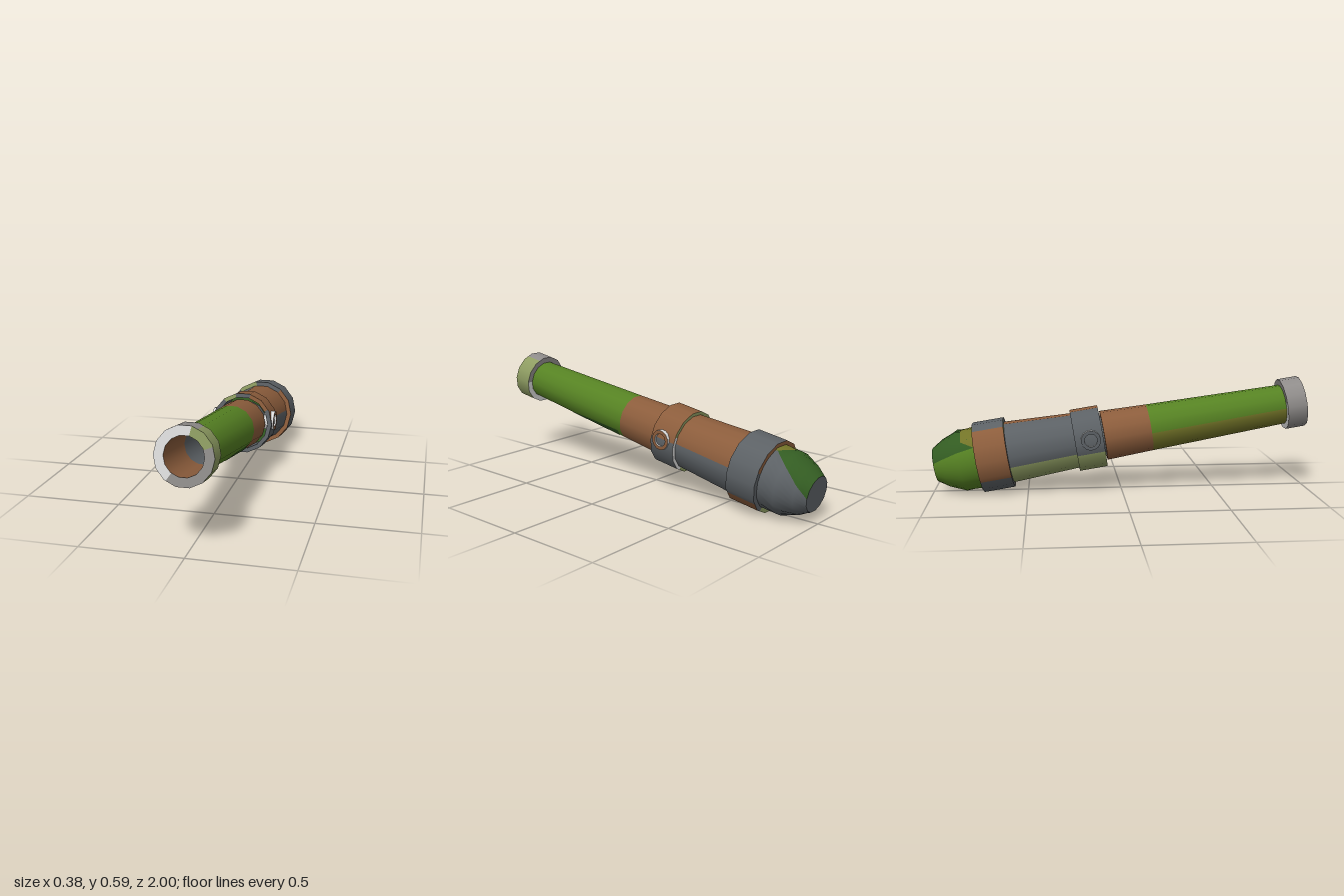
import * as THREE from 'three';

const SIDES = 14;
const STEP = 360 / SIDES;

const paint = (name, color) => {
  const m = new THREE.MeshStandardMaterial({ color });
  m.name = name;
  return m;
};

// Radius of the 14-sided section at an angle in degrees
function polyRadius(r, deg) {
  const off = (((deg % STEP) + STEP) % STEP) - STEP / 2;
  return r * Math.cos(Math.PI / SIDES) / Math.cos(THREE.MathUtils.degToRad(off));
}

// Sector of a turned surface. profile = [z, radius] points, listed so that the
// outside runs front to back; the sector may drift from a0..a1 to b0..b1.
function sectorGeometry(profile, a0, a1, b0 = a0, b1 = a1) {
  let cols = [0];
  if (a0 === b0 && a1 === b1) {
    for (let k = Math.ceil(a0 / STEP + 1e-6); k * STEP < a1 - 1e-4; k++) cols.push((k * STEP - a0) / (a1 - a0));
    cols.push(1);
  } else {
    cols = Array.from({ length: 13 }, (_, k) => k / 12);
  }
  const n = profile.length, pos = [], nor = [], idx = [];
  profile.forEach(([z, r], i) => {
    const p = profile[Math.max(i - 1, 0)], q = profile[Math.min(i + 1, n - 1)];
    const dz = q[0] - p[0], dr = q[1] - p[1], len = Math.hypot(dz, dr);
    const t = i / (n - 1);
    const from = a0 + (b0 - a0) * t, to = a1 + (b1 - a1) * t;
    for (const c of cols) {
      const deg = from + (to - from) * c, a = THREE.MathUtils.degToRad(deg);
      const R = polyRadius(r, deg);
      pos.push(R * Math.cos(a), R * Math.sin(a), z);
      nor.push(-dz / len * Math.cos(a), -dz / len * Math.sin(a), dr / len);
    }
  });
  const w = cols.length;
  for (let i = 0; i < n - 1; i++) {
    for (let j = 0; j < w - 1; j++) {
      const a = i * w + j, b = a + w;
      idx.push(a, b, a + 1, b, b + 1, a + 1);
    }
  }
  const g = new THREE.BufferGeometry();
  g.setAttribute('position', new THREE.Float32BufferAttribute(pos, 3));
  g.setAttribute('normal', new THREE.Float32BufferAttribute(nor, 3));
  g.setIndex(idx);
  return g;
}

export function createModel() {
  const brown = paint('brown', 0x8c5d3c);
  const slate = paint('slate', 0x5c6165);
  const green = paint('bright green', 0x568223);
  const forest = paint('forest green', 0x335c22);
  const sage = paint('sage', 0x8e9c62);
  const grey = paint('grey', 0x8f8c8a);
  const pale = paint('pale grey', 0xdcdcdc);
  const gold = paint('gold', 0xa5800a);
  const olive = paint('olive', 0x737428);

  const gun = new THREE.Group();
  gun.name = 'gunBarrel';

  const add = (name, mat, geo) => {
    const m = new THREE.Mesh(geo, mat);
    m.name = name;
    gun.add(m);
    return m;
  };
  // Full turn split into coloured sectors: [start angle, material], in order
  const turn = (name, profile, sectors) => sectors.forEach(([a, mat], k) => {
    const end = k + 1 < sectors.length ? sectors[k + 1][0] : sectors[0][0] + 360;
    add(name, mat, sectorGeometry(profile, a, end));
  });
  const plain = (name, profile, mat) => turn(name, profile, [[0, mat]]);

  // Bore
  plain('boreEnd', [[0.045, 0], [0.045, 0.092]], brown);
  plain('boreBack', [[0.045, 0.092], [0.68, 0.092]], slate);
  plain('boreFront', [[0.68, 0.092], [0.992, 0.092]], brown);

  // Muzzle ring
  turn('muzzleFace', [[0.992, 0.092], [0.992, 0.137]], [[-125, grey], [22, sage], [77, pale], [235, grey]].slice(0, 3));
  turn('muzzleRing', [[0.992, 0.137], [0.887, 0.137]], [[-78, gold], [-51, sage], [65, grey]]);
  turn('muzzleBack', [[0.887, 0.137], [0.887, 0.1]], [[0, grey], [170, pale]]);

  // Tapering barrel
  turn('barrelFront', [[0.887, 0.106], [0.155, 0.125]], [[-75, green], [185, olive]]);
  plain('barrelRear', [[0.155, 0.125], [-0.095, 0.133]], brown);
  plain('barrelEnd', [[-0.095, 0.133], [-0.095, 0]], brown);
  add('barrelPatch', forest, sectorGeometry(
    [[0.56, 0.1165], [0.42, 0.1205], [0.18, 0.1265]], -64, -48, -84, -30));

  // Inner tube joining barrel to body
  plain('innerTube', [[-0.09, 0.105], [-0.252, 0.105]], slate);

  // Sleeve collar, open at the front around the barrel
  const split = [[8, brown], [104, slate], [200, sage], [283, slate]];
  plain('collarInside', [[-0.25, 0.143], [-0.103, 0.143]], slate);
  turn('collarFace', [[-0.103, 0.143], [-0.103, 0.166]], [[30, brown], [75, slate], [105, sage], [130, slate], [235, sage], [270, slate]]);
  turn('collar', [[-0.103, 0.166], [-0.252, 0.166]], split);
  turn('collarBack', [[-0.252, 0.166], [-0.252, 0.14]], [[20, sage], [175, pale], [240, sage], [300, pale]]);

  // Main body
  plain('bodyFront', [[-0.25, 0], [-0.25, 0.148]], forest);
  turn('body', [[-0.25, 0.148], [-0.61, 0.164]], split);

  // Breech band
  turn('bandFace', [[-0.605, 0.155], [-0.605, 0.188]], [[-92, brown], [50, slate], [100, sage], [135, slate]]);
  turn('band', [[-0.605, 0.188], [-0.77, 0.188]], [[-78, brown], [-35, slate], [122, brown], [215, slate]]);
  turn('bandBack', [[-0.77, 0.188], [-0.77, 0.155]], [[20, brown], [140, slate], [225, sage], [300, slate]]);

  // Rounded breech with slanting colour borders
  const dome = [[-0.77, 0.165], [-0.86, 0.165], [-0.945, 0.128], [-0.999, 0.092]];
  add('breechTop', forest, sectorGeometry(dome, 75, 150, 0, 165));
  add('breechSide', green, sectorGeometry(dome, 150, 265, 165, 245));
  add('breechUnder', slate, sectorGeometry(dome, 265, 435, 245, 360));
  add('breechStripe', olive, sectorGeometry([[-0.77, 0.167], [-0.835, 0.167]], 70, 150, 95, 135));
  plain('breechCap', [[-0.999, 0.092], [-0.999, 0]], slate);

  // Trunnion rings on both sides
  const disc = (r) => Array.from({ length: SIDES }, (_, k) => {
    const a = k / SIDES * Math.PI * 2;
    return new THREE.Vector2(r * Math.cos(a), r * Math.sin(a));
  });
  const shape = new THREE.Shape(disc(0.052));
  shape.holes.push(new THREE.Path(disc(0.034)));
  for (const side of [1, -1]) {
    const geo = new THREE.ExtrudeGeometry(shape, { depth: 0.055, bevelEnabled: false });
    const t = add(side > 0 ? 'leftTrunnion' : 'rightTrunnion', [side > 0 ? brown : slate, pale], geo);
    t.rotation.y = side * Math.PI / 2;
    t.position.set(side * 0.118, 0.0175, -0.169);
  }

  // Raise the muzzle
  gun.rotation.x = THREE.MathUtils.degToRad(-9.2);
  gun.position.y = 0.3028;

  const model = new THREE.Group();
  model.name = 'cannon';
  model.add(gun);
  return model;
}
